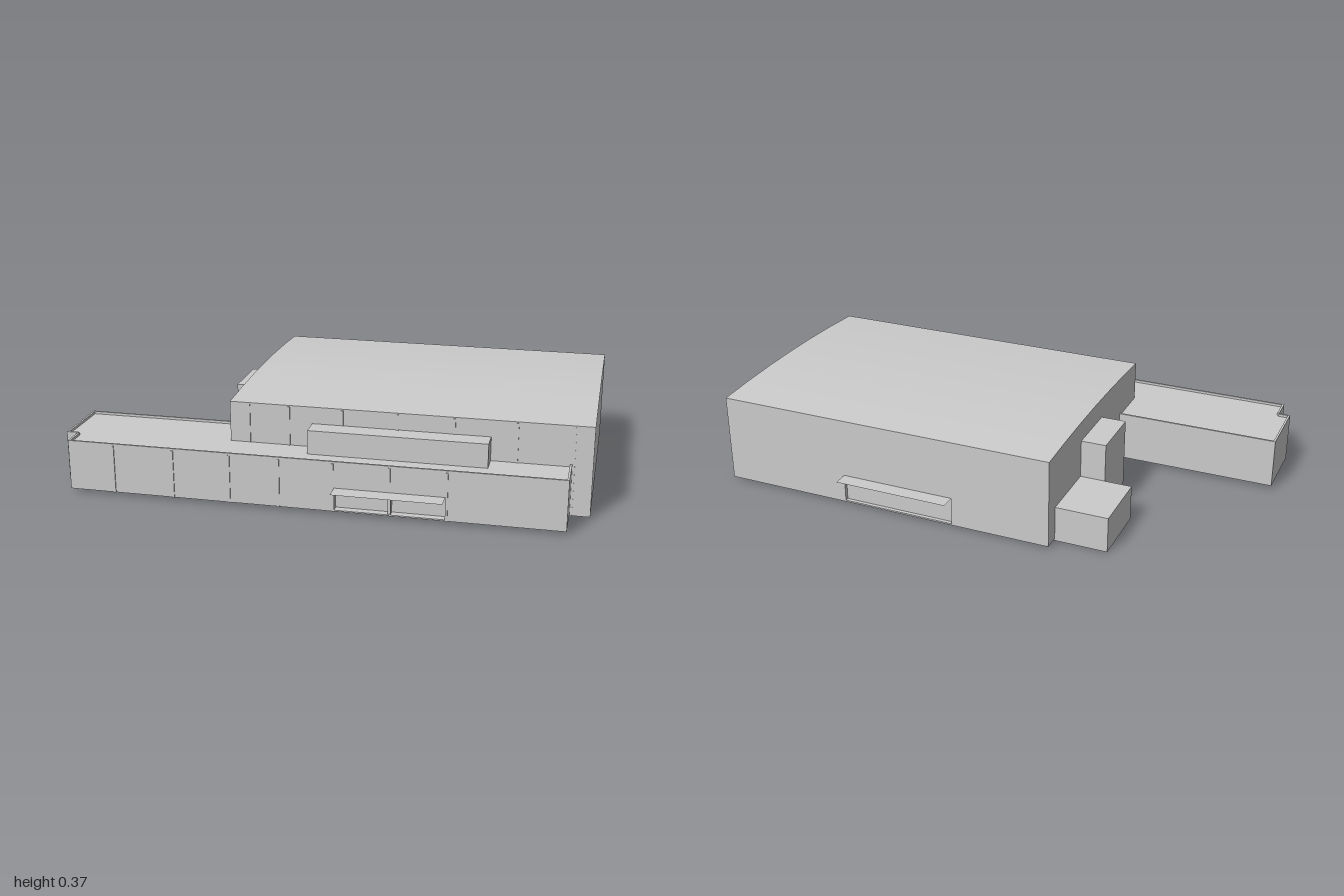
import * as THREE from 'three';

const grey = new THREE.MeshStandardMaterial({ color: 0xcccccc, flatShading: true });
const thin = new THREE.MeshStandardMaterial({ color: 0xcccccc, flatShading: true, side: THREE.DoubleSide });

export function createModel() {
  const model = new THREE.Group();

  const add = (name, geometry, parent = model, material = grey) => {
    const mesh = new THREE.Mesh(geometry, material);
    mesh.name = name;
    parent.add(mesh);
    return mesh;
  };

  // box given by its limits on each axis
  const box = (name, x0, x1, y0, y1, z0, z1, parent) =>
    add(name, new THREE.BoxGeometry(x1 - x0, y1 - y0, z1 - z0), parent)
      .position.set((x0 + x1) / 2, (y0 + y1) / 2, (z0 + z1) / 2);

  // cross-section of [z, y] points swept along x
  const section = (name, x0, x1, points, parent) => {
    const shape = new THREE.Shape(points.map(([z, y]) => new THREE.Vector2(-z, y)));
    const geometry = new THREE.ExtrudeGeometry(shape, { depth: x1 - x0, bevelEnabled: false });
    geometry.rotateY(Math.PI / 2).translate(x0, 0, 0);
    add(name, geometry, parent);
  };

  // flat sheet projecting from a wall
  const canopy = (name, x0, x1, y, z0, z1) => {
    const geometry = new THREE.PlaneGeometry(x1 - x0, z1 - z0).rotateX(-Math.PI / 2);
    add(name, geometry, model, thin).position.set((x0 + x1) / 2, y, (z0 + z1) / 2);
  };

  // main hall with a shallow arched roof and a recessed rear doorway
  const hall = new THREE.Group();
  hall.name = 'mainHall';
  model.add(hall);
  const back = -0.565, front = 0.39, base = 0.008;
  const arch = [];
  for (let i = 0; i <= 6; i++) {
    const t = i / 3 - 1;
    arch.push([(back + front) / 2 - t * (front - back) / 2, 0.355 + 0.016 * (1 - t * t)]);
  }
  const plain = [...arch, [back, base], [front, base]];
  const doorway = [...arch, [back, 0.122], [back + 0.015, 0.122],
    [back + 0.015, base + 0.006], [back, base + 0.006], [back, base], [front, base]];
  section('hallRightPart', -0.36, 0.03, plain, hall);
  section('hallDoorPart', 0.03, 0.485, doorway, hall);
  section('hallLeftPart', 0.485, 1, plain, hall);
  canopy('rearCanopy', 0.03, 0.485, 0.123, -0.625, back);

  // front wing: roof sunk behind a low parapet, entrance recess, notched end
  const wing = new THREE.Group();
  wing.name = 'frontWing';
  model.add(wing);
  const rim = 0.008, y0 = 0.013, roof = 0.198, top = 0.208, zb = 0.2, zf = 0.552;
  const outline = (z1) => [[zb, y0], [zb, top], [zb + rim, top], [zb + rim, roof],
    [z1 - rim, roof], [z1 - rim, top], [z1, top], [z1, y0]];
  const entrance = [...outline(zf).slice(0, 7), [zf, 0.105], [zf - 0.03, 0.105],
    [zf - 0.03, y0 + 0.005], [zf, y0 + 0.005], [zf, y0]];
  section('wingEnd', -1, -0.955, outline(0.46), wing);
  section('wingRightPart', -0.955, 0.08, outline(zf), wing);
  section('wingEntrancePart', 0.08, 0.49, entrance, wing);
  section('wingLeftPart', 0.49, 0.925, outline(zf), wing);
  box('endParapet', -1, -1 + rim, roof, top, zb, 0.46, wing);
  box('notchParapet', -0.955, -0.955 + rim, roof, top, 0.46, zf, wing);
  box('endParapet', 0.925 - rim, 0.925, roof, top, front, zf, wing);
  box('doorMullion', 0.28, 0.29, y0, 0.105, zf - 0.03, zf - 0.002, wing);
  canopy('entranceCanopy', 0.08, 0.49, 0.105, zf, 0.62);

  // narrow pilasters along both facades
  for (const x of [-0.775, -0.54, -0.32, -0.13, 0.075, 0.285, 0.495])
    box('wingPilaster', x - 0.004, x + 0.004, x > 0.2 && x < 0.4 ? 0.11 : y0, 0.2, zf - 0.005, zf + 0.004, wing);
  for (const x of [-0.285, -0.13, 0.075, 0.285, 0.495, 0.725, 0.93])
    box('hallPilaster', x - 0.004, x + 0.004, x > 0.92 ? base : roof, 0.35, front - 0.005, front + 0.004, hall);

  // upper box on the wing roof and two annexes beside the hall
  box('upperBay', -0.04, 0.63, 0.198, 0.29, front - 0.01, 0.47);
  box('lowAnnex', -0.565, -0.33, 0, 0.14, -0.502, -0.243);
  box('tallAnnex', -0.458, -0.35, 0.005, 0.29, -0.243, -0.018);

  return model;
}
